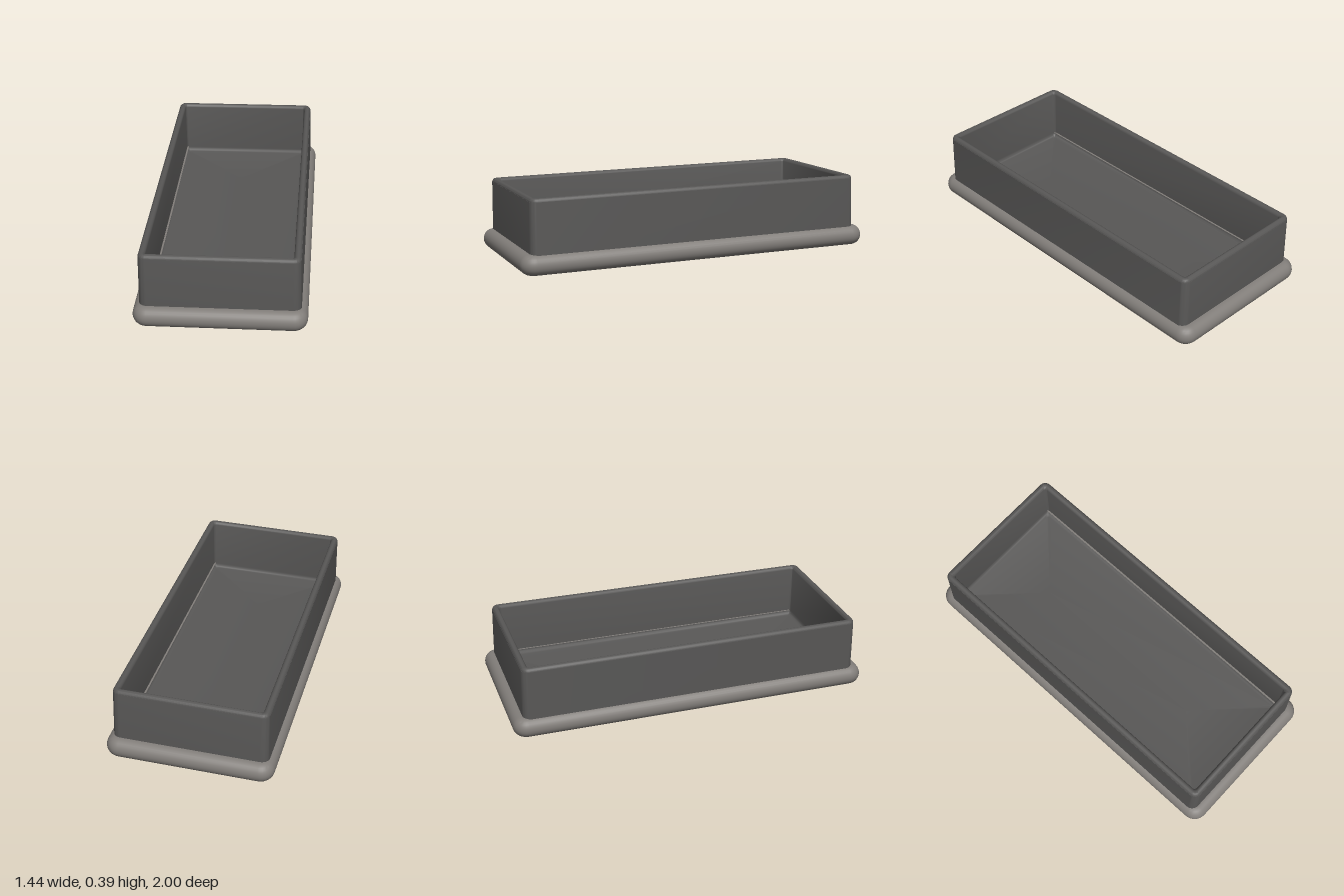
import * as THREE from 'three';
import { toCreasedNormals } from 'three/addons/utils/BufferGeometryUtils.js';

const CORNER_STEPS = 8;

// Sweeps a [offset, y] profile around a rectangle with half sizes w, l; corners round off with the offset
function sweepRect(profile, w, l) {
  const position = [], index = [];
  const ring = 4 * (CORNER_STEPS + 1);
  for (const [d, y] of profile) {
    const hw = w + d, hl = l + d;
    const r = Math.min(Math.max(d, 0.015), hw);
    for (let c = 0; c < 4; c++) {
      const sx = c === 0 || c === 3 ? 1 : -1, sz = c < 2 ? 1 : -1;
      for (let s = 0; s <= CORNER_STEPS; s++) {
        const a = (c + s / CORNER_STEPS) * Math.PI / 2;
        position.push(sx * (hw - r) + r * Math.cos(a), y, sz * (hl - r) + r * Math.sin(a));
      }
    }
  }
  for (let i = 0; i < profile.length - 1; i++) {
    for (let j = 0; j < ring; j++) {
      const a = i * ring + j, b = i * ring + (j + 1) % ring;
      index.push(a, a + ring, b, b, a + ring, b + ring);
    }
  }
  const geometry = new THREE.BufferGeometry();
  geometry.setAttribute('position', new THREE.Float32BufferAttribute(position, 3));
  geometry.setIndex(index);
  return toCreasedNormals(geometry, 0.7);
}

// Points along an elliptical arc, in profile coordinates
function arc(cx, cy, rx, ry, from, to, steps) {
  return Array.from({ length: steps + 1 }, (_, i) => {
    const a = from + (to - from) * i / steps;
    return [cx + rx * Math.cos(a), cy + ry * Math.sin(a)];
  });
}

function part(name, geometry, color) {
  const mesh = new THREE.Mesh(geometry, new THREE.MeshStandardMaterial({ color }));
  mesh.name = name;
  return mesh;
}

export function createModel() {
  const model = new THREE.Group();
  model.name = 'tray';
  const body = new THREE.Group();
  body.name = 'trayBody';

  // Slightly tapering walls, rounded rim, and inner floor
  const W = 0.345, L = 0.842;
  body.add(part('basin', sweepRect([
    [0.041, 0.06],
    [0.036, 0.355],
    ...arc(0.018, 0.355, 0.017, 0.017, 0, Math.PI, 8),
    [0, 0.1],
    ...arc(-0.02, 0.095, 0.02, 0.02, 0, -Math.PI / 2, 4),
    [-W, 0.075],
  ], W, L), 0x585756));

  // Rounded base moulding with a shallow recess underneath
  const BW = 0.346, BL = 0.863;
  body.add(part('baseMoulding', sweepRect([
    [-0.015, 0.025],
    [-0.015, 0.004],
    [-0.011, 0],
    ...arc(0.022, 0.051, 0.048, 0.051, -Math.PI / 2, Math.PI / 2, 14),
    [-0.01, 0.102],
  ], BW, BL), 0x827e7a));

  // Underside panel
  body.add(part('bottomPanel', sweepRect([
    [-BW, 0.025],
    [-0.014, 0.025],
  ], BW, BL), 0x454443));

  // Turned on the ground, leaning very slightly
  body.rotation.y = -Math.PI / 8;
  const lean = new THREE.Group();
  lean.name = 'leaningTray';
  lean.add(body);
  lean.rotation.z = 0.013;
  lean.position.y = 0.009;
  model.add(lean);
  return model;
}
